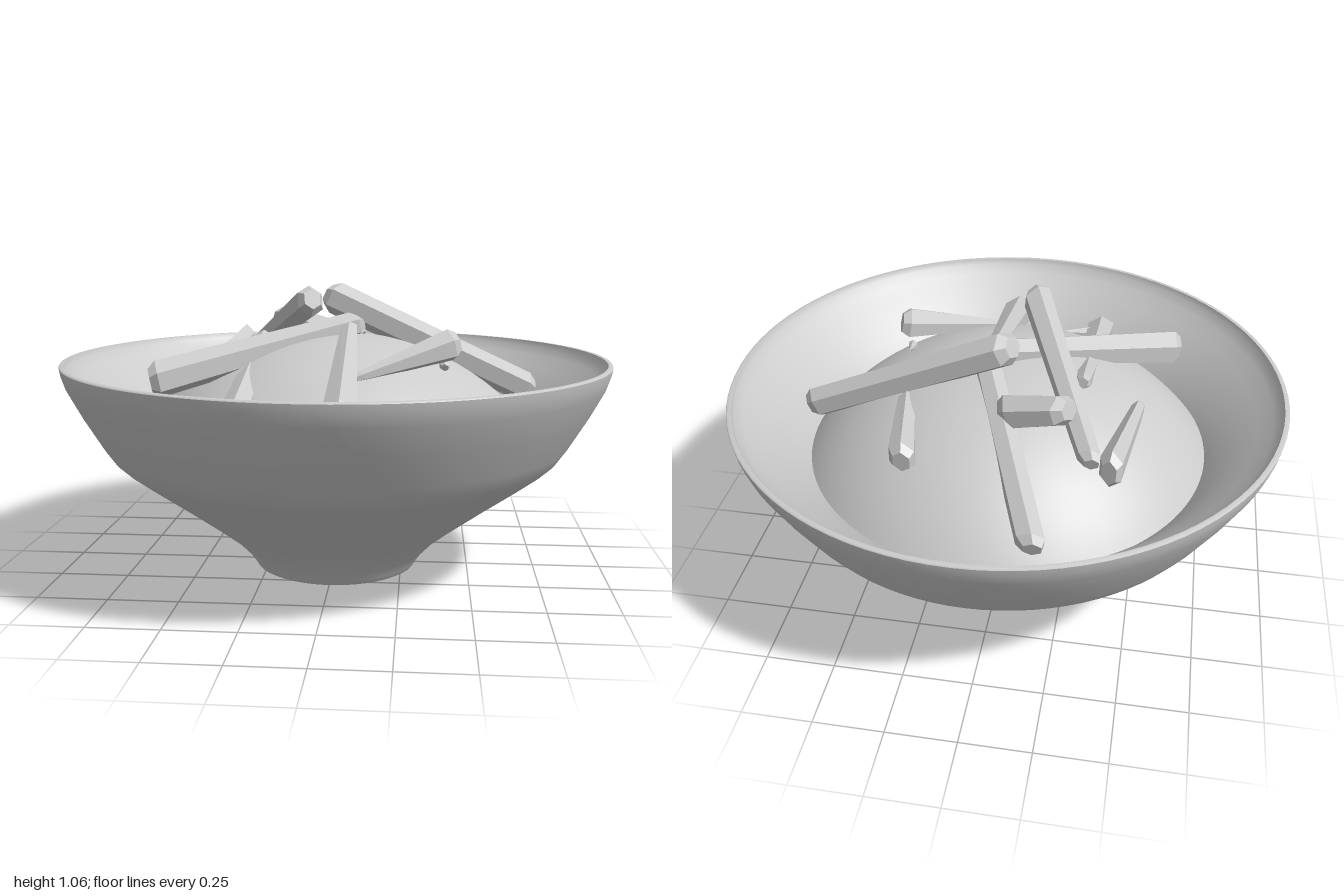
import * as THREE from 'three';

const smooth = new THREE.MeshStandardMaterial({ color: 0xcccccc, side: THREE.DoubleSide });
const faceted = new THREE.MeshStandardMaterial({ color: 0xcccccc, flatShading: true });
const V = (a) => new THREE.Vector3(...a);

// Smooth surface of revolution; profile is [radius, height] pairs
function turned(name, profile) {
  const pts = profile.map(([r, y]) => new THREE.Vector2(r, y));
  const mesh = new THREE.Mesh(new THREE.LatheGeometry(pts, 96), smooth);
  mesh.name = name;
  return mesh;
}

// Six-sided stick with chamfered, slanted ends, running from a to b.
// w0 and w1 are the widths at the two ends, tall stretches the section upwards.
function stick(name, a, b, w0, w1, tall = 1) {
  const from = V(a), dir = V(b).sub(from), len = dir.length();
  const c = Math.min(0.03, len * 0.15);
  const r0 = w0 / 2, r1 = w1 / 2;
  const profile = [[0, 0], [r0 * 0.65, 0], [r0, c], [r1, len - c], [r1 * 0.65, len], [0, len]];
  const geo = new THREE.LatheGeometry(profile.map(([r, y]) => new THREE.Vector2(r, y)), 6);
  const p = geo.attributes.position;
  for (let i = 0; i < p.count; i++) {
    p.setY(i, p.getY(i) + p.getX(i) * 0.3 * (p.getY(i) > len / 2 ? 1 : -1));
    p.setZ(i, p.getZ(i) * tall);
  }
  // Side axis stays level so the stick keeps a ridge on top
  const up = dir.clone().normalize();
  const side = new THREE.Vector3().crossVectors(up, new THREE.Vector3(0, 1, 0)).normalize();
  const front = new THREE.Vector3().crossVectors(side, up);
  geo.applyMatrix4(new THREE.Matrix4().makeBasis(side, up, front).setPosition(from));
  const mesh = new THREE.Mesh(geo, faceted);
  mesh.name = name;
  return mesh;
}

export function createModel() {
  const model = new THREE.Group();
  model.name = 'bowlWithSticks';

  // Bowl: foot, flared outer wall, rim and inner wall
  const bowl = new THREE.Group();
  bowl.name = 'bowl';
  bowl.add(
    turned('base', [[0, 0], [0.29, 0]]),
    turned('outerWall', [[0.29, 0], [0.301, 0.006], [0.31, 0.022], [0.335, 0.058], [0.39, 0.115],
      [0.47, 0.178], [0.6, 0.275], [0.72, 0.362], [0.79, 0.415], [0.825, 0.447], [0.86, 0.497],
      [0.93, 0.615], [0.98, 0.71], [0.995, 0.755], [1, 0.783]]),
    turned('rim', [[1, 0.783], [0.997, 0.788], [0.983, 0.788]]),
    turned('innerWall', [[0.983, 0.788], [0.977, 0.768], [0.95, 0.738], [0.9, 0.695], [0.84, 0.642],
      [0.78, 0.58], [0.73, 0.52], [0.69, 0.46]]),
  );
  model.add(bowl);

  // Domed filling
  const R = 0.93, apex = 0.88, dome = [];
  for (let i = 0; i <= 20; i++) {
    const t = (0.92 * (20 - i)) / 20;
    dome.push([R * Math.sin(t), apex - R * (1 - Math.cos(t))]);
  }
  model.add(turned('filling', dome));

  // Sticks scattered over the filling: start, end, start width, end width, tallness
  const sticks = [
    [[-0.04, 1.01, -0.14], [0.73, 0.66, -0.09], 0.125, 0.115],
    [[-0.6, 0.75, 0.4], [0.08, 0.91, -0.03], 0.145, 0.11, 0.9],
    [[-0.35, 0.79, -0.46], [-0.06, 1.02, 0.25], 0.08, 0.11],
    [[-0.41, 0.8, -0.51], [-0.48, 0.74, -0.02], 0.09, 0.05, 1.5],
    [[-0.2, 0.65, -0.74], [0.08, 0.9, -0.02], 0.1, 0.1],
    [[-0.26, 0.91, -0.34], [-0.02, 0.83, -0.27], 0.11, 0.13],
    [[0.27, 0.76, -0.51], [0.34, 0.77, -0.14], 0.1, 0.07, 1.2],
    [[0.44, 0.87, 0.2], [0.09, 0.77, 0.43], 0.15, 0.05, 0.75],
    [[0.05, 0.91, -0.02], [0.07, 0.68, 0.72], 0.065, 0.125],
    [[-0.28, 0.86, -0.09], [-0.28, 0.62, 0.72], 0.06, 0.12],
  ];
  sticks.forEach((s, i) => model.add(stick('stick' + (i + 1), ...s)));

  // Thin shards poking out of the filling
  model.add(
    stick('frontShard', [-0.26, 0.66, 0.6], [-0.11, 0.69, 0.54], 0.06, 0.008),
    stick('sideShard', [0.4, 0.78, 0.2], [0.39, 0.81, 0.1], 0.04, 0.006),
  );
  return model;
}
